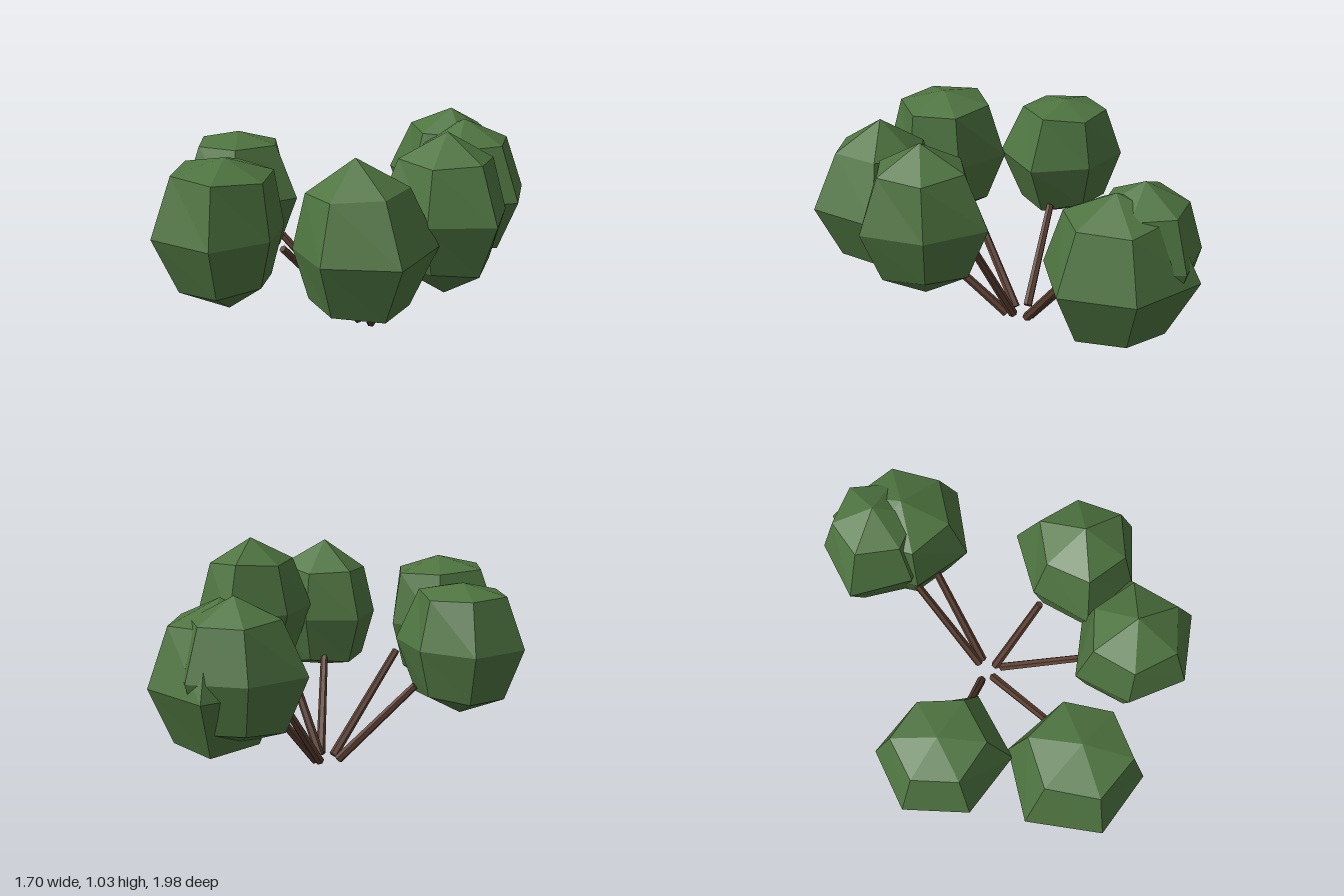
import * as THREE from 'three';

const leafGreen = new THREE.MeshStandardMaterial({ color: 0x4e7440 });
leafGreen.name = 'leafGreen';
const barkBrown = new THREE.MeshStandardMaterial({ color: 0x5c4033 });
barkBrown.name = 'barkBrown';

// Duplicate the corners so that every face gets its own flat normal
function faceted(geometry) {
  const flat = geometry.toNonIndexed();
  flat.computeVertexNormals();
  return flat;
}

// Six-sided ball: uneven equator, a ring above and below it, and two poles
function leafClump({ centre, top, bottom, crown, turn, equator }) {
  const geometry = new THREE.SphereGeometry(1, 6, 4);
  const pos = geometry.attributes.position;
  for (let i = 0; i < pos.count; i++) {
    const row = Math.floor(i / 7);
    const side = (i % 7) % 6;
    const angle = THREE.MathUtils.degToRad(turn - 60 * side);
    const reach = equator[side];
    const above = crown + 0.3 * (reach - 0.3);
    const below = 0.15 + 0.5 * reach;
    const radius = [0, above * 0.7, reach, below * 0.7, 0][row];
    const height = [top, above * 0.8, 0, below * -0.8, -bottom][row];
    pos.setXYZ(i, Math.cos(angle) * radius, height, Math.sin(angle) * radius);
  }
  const mesh = new THREE.Mesh(faceted(geometry), leafGreen);
  mesh.position.set(...centre);
  mesh.name = 'leafClump';
  return mesh;
}

// Slightly tapered straight stem between two points
function stem({ foot, tip }) {
  const a = new THREE.Vector3(foot[0], 0.02, foot[1]);
  const b = new THREE.Vector3(...tip);
  const axis = b.clone().sub(a);
  const mesh = new THREE.Mesh(
    faceted(new THREE.CylinderGeometry(0.018, 0.022, axis.length(), 6)), barkBrown);
  mesh.position.copy(a).add(b).multiplyScalar(0.5);
  mesh.quaternion.setFromUnitVectors(new THREE.Vector3(0, 1, 0), axis.normalize());
  mesh.name = 'stem';
  return mesh;
}

function branch(name, shape) {
  const group = new THREE.Group();
  group.name = name;
  group.add(leafClump(shape), stem(shape));
  return group;
}

export function createModel() {
  const bush = new THREE.Group();
  bush.name = 'bush';
  bush.add(
    branch('leftBranch', {
      centre: [0.545, 0.68, 0.1], top: 0.35, bottom: 0.375, crown: 0.3, turn: 13,
      equator: [0.31, 0.265, 0.32, 0.265, 0.305, 0.265],
      foot: [0.075, 0], tip: [0.32, 0.5, 0.06],
    }),
    branch('frontLeftBranch', {
      centre: [0.39, 0.6, 0.53], top: 0.38, bottom: 0.28, crown: 0.305, turn: 20,
      equator: [0.345, 0.345, 0.245, 0.28, 0.26, 0.295],
      foot: [0.09, 0.03], tip: [0.315, 0.42, 0.41],
    }),
    branch('frontBranch', {
      centre: [-0.18, 0.6, 0.7], top: 0.325, bottom: 0.355, crown: 0.325, turn: 0,
      equator: [0.25, 0.26, 0.31, 0.35, 0.33, 0.3],
      foot: [0.02, 0.035], tip: [-0.085, 0.47, 0.45],
    }),
    branch('rightBranch', {
      centre: [-0.557, 0.61, 0.22], top: 0.285, bottom: 0.325, crown: 0.295, turn: -9,
      equator: [0.32, 0.25, 0.285, 0.295, 0.295, 0.325],
      foot: [-0.03, 0], tip: [-0.36, 0.4, 0.145],
    }),
    branch('backRightBranch', {
      centre: [0.03, 0.6, -0.71], top: 0.327, bottom: 0.31, crown: 0.29, turn: -19,
      equator: [0.25, 0.27, 0.26, 0.32, 0.27, 0.25],
      foot: [0.03, -0.07], tip: [0.015, 0.47, -0.46],
    }),
    branch('backLeftBranch', {
      centre: [0.15, 0.53, -0.65], top: 0.367, bottom: 0.32, crown: 0.32, turn: 5,
      equator: [0.34, 0.325, 0.375, 0.3, 0.27, 0.31],
      foot: [0.055, -0.07], tip: [0.135, 0.46, -0.45],
    }),
  );
  return bush;
}
